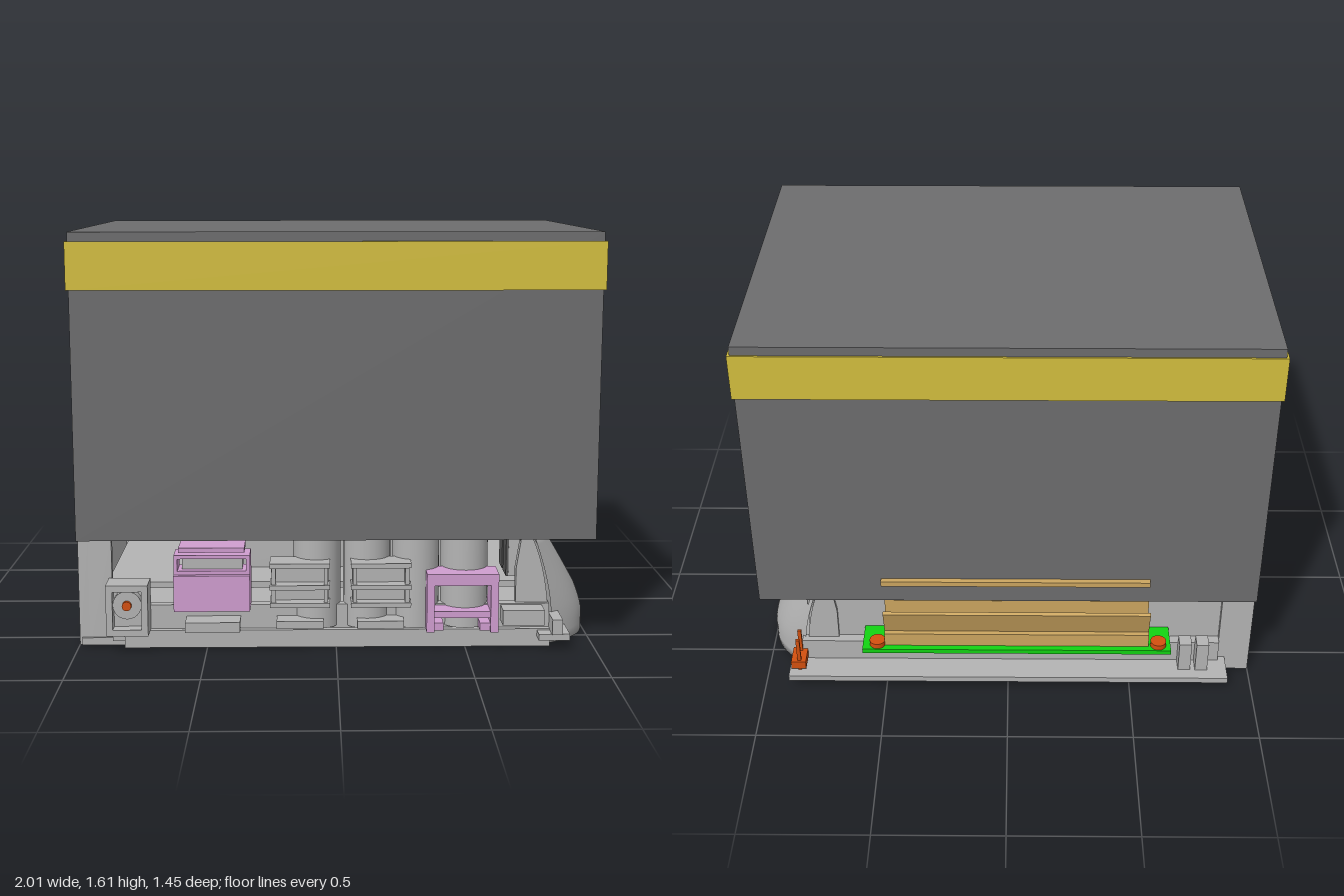
import * as THREE from 'three';

const mat = (name, color, side = THREE.FrontSide) => {
  const m = new THREE.MeshStandardMaterial({ color, side });
  m.name = name;
  return m;
};

export function createModel() {
  const model = new THREE.Group();
  const slate = mat('slate', 0x6d6d6e);
  const yellow = mat('yellow', 0xd4bf3e);
  const grey = mat('light grey', 0xb4b4b4, THREE.DoubleSide);
  const dark = mat('dark grey', 0x585858);
  const purple = mat('mauve', 0xd09ed0);
  const green = mat('board green', 0x12d412);
  const tan = mat('tan', 0xcca660);
  const orange = mat('orange', 0xd4500f);

  const add = (name, geo, m) => {
    const mesh = new THREE.Mesh(geo, m);
    mesh.name = name;
    model.add(mesh);
    return mesh;
  };
  // Box given by its limits on each axis
  const box = (name, m, x0, x1, y0, y1, z0, z1) => {
    const mesh = add(name, new THREE.BoxGeometry(x1 - x0, y1 - y0, z1 - z0), m);
    mesh.position.set((x0 + x1) / 2, (y0 + y1) / 2, (z0 + z1) / 2);
    return mesh;
  };
  const cylinder = (name, m, r, h, x, y, z, axis = 'y') => {
    const mesh = add(name, new THREE.CylinderGeometry(r, r, h, 24), m);
    mesh.position.set(x, y, z);
    if (axis === 'x') mesh.rotation.z = Math.PI / 2;
    if (axis === 'z') mesh.rotation.x = Math.PI / 2;
    return mesh;
  };
  // Rectangular frame facing +z
  const frame = (name, m, x0, x1, y0, y1, z0, z1, t) => {
    box(name, m, x0, x0 + t, y0, y1, z0, z1);
    box(name, m, x1 - t, x1, y0, y1, z0, z1);
    box(name, m, x0 + t, x1 - t, y1 - t, y1, z0, z1);
    box(name, m, x0 + t, x1 - t, y0, y0 + t, z0, z1);
  };

  // Large upper block and its band
  box('upperBlock', slate, -0.99, 0.99, 0.44, 1.605, -0.69, 0.69);
  box('bandFront', yellow, -1, 1, 1.39, 1.57, 0.69, 0.697);
  box('bandBack', yellow, -1, 1, 1.39, 1.57, -0.697, -0.69);
  for (const s of [-1, 1]) {
    const b = box('bandSide', yellow, 0.99, 1, 1.39, 1.57, -0.69, 0.69);
    b.position.x *= s;
  }

  // Base floor with rounded curved end
  const floor = new THREE.Shape();
  floor.moveTo(-0.99, -0.6);
  floor.lineTo(0.78, -0.6);
  floor.bezierCurveTo(0.9, -0.6, 0.97, -0.5, 0.97, -0.3);
  floor.lineTo(0.97, 0.3);
  floor.bezierCurveTo(0.97, 0.5, 0.9, 0.6, 0.78, 0.6);
  floor.lineTo(-0.99, 0.6);
  const floorGeo = new THREE.ExtrudeGeometry(floor, { depth: 0.03, bevelEnabled: false });
  floorGeo.rotateX(-Math.PI / 2);
  add('baseFloor', floorGeo, grey);

  // Curved end shell: columns across z, each a loop up the outside and down the inside
  const topAt = (z) => {
    const t = Math.min(Math.abs(z) / 0.47, 1);
    return 0.155 + 0.04 * t * t + 0.235 * Math.pow(t, 14);
  };
  const outerX = (y, z) => {
    const drop = Math.max(0, (y - 0.08) / 0.36);
    const corner = Math.max(0, (Math.abs(z) - 0.3) / 0.3);
    return 1 - 0.17 * Math.pow(drop, 1.35) - 0.17 * Math.pow(corner, 3) * (1 - 0.6 * drop);
  };
  const columns = 64, steps = 12, ring = steps * 2 + 2;
  const pos = [], index = [];
  for (let i = 0; i <= columns; i++) {
    const z = -0.595 + (1.19 * i) / columns;
    const top = topAt(z);
    for (let k = 0; k <= steps; k++) {
      const y = (top * k) / steps;
      pos.push(outerX(y, z), y, z);
    }
    for (let k = steps; k >= 0; k--) {
      const y = (top * k) / steps;
      pos.push(outerX(y, z) - 0.06, y, z);
    }
    if (i === columns) continue;
    for (let k = 0; k < ring; k++) {
      const a = i * ring + k, b = i * ring + ((k + 1) % ring);
      index.push(a, b, a + ring, b, b + ring, a + ring);
    }
  }
  const shellGeo = new THREE.BufferGeometry();
  shellGeo.setAttribute('position', new THREE.Float32BufferAttribute(pos, 3));
  shellGeo.setIndex(index);
  shellGeo.computeVertexNormals();
  // Turn the surface outward if the loop order runs inward
  const mid = (columns / 2) * ring + 3;
  if (shellGeo.attributes.normal.getX(mid) < 0) {
    for (let i = 0; i < index.length; i += 3) [index[i], index[i + 1]] = [index[i + 1], index[i]];
    shellGeo.setIndex(index);
    shellGeo.computeVertexNormals();
  }
  add('curvedEnd', shellGeo, grey);

  // Side cheeks that follow the curved end
  for (const z of [-0.595, 0.555]) {
    const cheek = new THREE.Shape();
    cheek.moveTo(0.7, 0);
    cheek.lineTo(0.83, 0);
    cheek.lineTo(0.83, 0.1);
    cheek.quadraticCurveTo(0.82, 0.3, 0.76, 0.43);
    cheek.lineTo(0.72, 0.43);
    cheek.lineTo(0.7, 0.3);
    const g = new THREE.ExtrudeGeometry(cheek, { depth: 0.04, bevelEnabled: false });
    add('endCheek', g, grey).position.z = z;
  }

  // Flat end with returns, back wall and low front wall
  box('flatEnd', grey, -1, -0.96, 0, 0.435, -0.6, 0.59);
  for (const z of [-0.6, 0.56]) box('endReturn', grey, -0.96, -0.87, 0, 0.435, z, z + 0.03);
  box('backWall', grey, -0.96, 0.82, 0.03, 0.43, -0.58, -0.555);
  box('backSill', grey, -0.87, 0.85, 0, 0.16, -0.62, -0.58);
  box('backRail', grey, -0.9, 0.9, 0.04, 0.065, -0.73, -0.58);
  box('frontWall', grey, -0.87, 0.83, 0.02, 0.165, 0.57, 0.61);
  box('frontSill', grey, -0.82, 0.83, 0, 0.07, 0.59, 0.635);
  box('frontRail', grey, 0.78, 0.9, 0.04, 0.065, 0.56, 0.69);
  box('frontClip', grey, 0.83, 0.87, 0.065, 0.125, 0.58, 0.7);

  // Twin round inlet on the flat end
  box('inletRimTop', grey, -1.004, -0.99, 0.3, 0.32, -0.2, 0.2);
  box('inletRimBottom', grey, -1.004, -0.99, 0.07, 0.09, -0.2, 0.2);
  for (const s of [-1, 1]) {
    box('inletRimSide', grey, -1.004, -0.99, 0.07, 0.32, s * 0.19 - 0.01, s * 0.19 + 0.01);
    const rim = add('inletRing', new THREE.TorusGeometry(0.075, 0.012, 8, 28), grey);
    rim.rotation.y = Math.PI / 2;
    rim.position.set(-0.995, 0.195, s * 0.085);
    cylinder('inletHole', dark, 0.065, 0.006, -1, 0.195, s * 0.085, 'x');
    cylinder('inletPin', grey, 0.03, 0.012, -1, 0.195, s * 0.085, 'x');
  }

  // Row of upright capacitors
  for (const x of [-0.075, 0.12, 0.31, 0.5]) cylinder('capacitor', grey, 0.092, 0.36, x, 0.26, 0.56);

  // Round power jack
  frame('jackHousing', grey, -0.88, -0.72, 0.07, 0.27, 0.6, 0.71, 0.025);
  box('jackBack', grey, -0.87, -0.73, 0.08, 0.26, 0.6, 0.66);
  cylinder('jackBarrel', grey, 0.055, 0.05, -0.8, 0.19, 0.675, 'z');
  cylinder('jackPin', orange, 0.018, 0.06, -0.8, 0.19, 0.685, 'z');

  // Left mauve connector with stacked frame
  box('leftPort', purple, -0.62, -0.33, 0.17, 0.31, 0.57, 0.72);
  frame('leftPortCage', purple, -0.62, -0.33, 0.31, 0.385, 0.6, 0.7, 0.014);
  box('leftPortTop', purple, -0.6, -0.35, 0.4, 0.418, 0.6, 0.715);
  box('leftPortCore', grey, -0.59, -0.36, 0.32, 0.37, 0.56, 0.67);
  box('leftPortTongue', grey, -0.58, -0.37, 0.08, 0.12, 0.6, 0.7);

  // Two grey stacked sockets
  for (const x of [-0.14, 0.17]) {
    box('socketBody', grey, x - 0.11, x + 0.11, 0.17, 0.34, 0.56, 0.66);
    for (const y of [0.18, 0.25, 0.335]) box('socketLip', grey, x - 0.115, x + 0.115, y, y + 0.018, 0.6, 0.71);
    for (const s of [-1, 1]) box('socketSide', grey, x + s * 0.1 - 0.008, x + s * 0.1 + 0.008, 0.19, 0.34, 0.64, 0.7);
    box('socketTongue', grey, x - 0.09, x + 0.09, 0.09, 0.12, 0.6, 0.69);
  }

  // Right mauve connector frame
  box('rightPortTop', purple, 0.345, 0.62, 0.265, 0.31, 0.59, 0.71);
  for (const x of [0.345, 0.59]) box('rightPortSide', purple, x, x + 0.03, 0.08, 0.265, 0.59, 0.71);
  box('rightPortBar', purple, 0.375, 0.59, 0.135, 0.16, 0.6, 0.7);
  for (const x of [0.355, 0.55]) box('rightPortFoot', purple, x, x + 0.055, 0.085, 0.115, 0.6, 0.7);
  box('sideTerminal', grey, 0.64, 0.8, 0.1, 0.16, 0.6, 0.69);

  // Back board, screws, slot connector and bar
  box('backBoard', green, -0.66, 0.59, 0.19, 0.21, -0.725, -0.58);
  for (const x of [-0.61, 0.53]) cylinder('boardScrew', orange, 0.032, 0.025, x, 0.22, -0.69);
  box('slotBase', tan, -0.57, 0.5, 0.21, 0.27, -0.7, -0.6);
  box('slotWall', tan, -0.57, 0.5, 0.27, 0.38, -0.62, -0.605);
  const flap = box('slotFlap', tan, -0.57, 0.5, 0.25, 0.39, -0.695, -0.68);
  flap.rotation.x = -0.3;
  for (let i = 0; i < 12; i++) {
    const x = -0.5 + i * 0.085;
    box('slotTooth', tan, x, x + 0.035, 0.3, 0.42, -0.605, -0.59);
  }
  box('backBar', tan, -0.56, 0.5, 0.53, 0.552, -0.712, -0.69);
  box('lampBase', orange, 0.83, 0.89, 0.08, 0.115, -0.7, -0.61);
  for (const z of [-0.69, -0.63]) box('lampPin', orange, 0.85, 0.865, 0.065, 0.22, z, z + 0.012);
  for (const x of [-0.82, -0.75]) box('backTerminal', grey, x, x + 0.05, 0.065, 0.2, -0.68, -0.62);

  // Inner frames and fins seen through the curved end
  for (const z of [0.475, 0.36, -0.18, -0.295]) {
    for (const s of [-1, 1]) box('holderSide', grey, 0.68, 0.76, 0.25, 0.41, z + s * 0.038 - 0.008, z + s * 0.038 + 0.008);
    for (const y of [0.25, 0.385]) box('holderEdge', grey, 0.68, 0.76, y, y + 0.025, z - 0.045, z + 0.045);
    box('holderBack', dark, 0.67, 0.68, 0.25, 0.41, z - 0.045, z + 0.045);
  }
  box('innerBoard', grey, -0.9, 0.8, 0.2, 0.225, -0.5, 0.5);
  for (let i = 0; i < 7; i++) {
    const z = -0.02 + i * 0.047;
    box('coolingFin', grey, -0.5, 0.6, 0.22, 0.435, z, z + 0.022);
  }
  for (const z of [-0.07, -0.14, -0.47]) box('innerStrip', tan, -0.3, 0.55, 0.22, 0.4, z, z + 0.012);

  // Foot pads and screw heads under the floor
  for (const x of [-0.8, 0.75]) for (const z of [-0.5, 0.5]) cylinder('floorScrew', dark, 0.025, 0.006, x, 0.003, z);

  return model;
}
